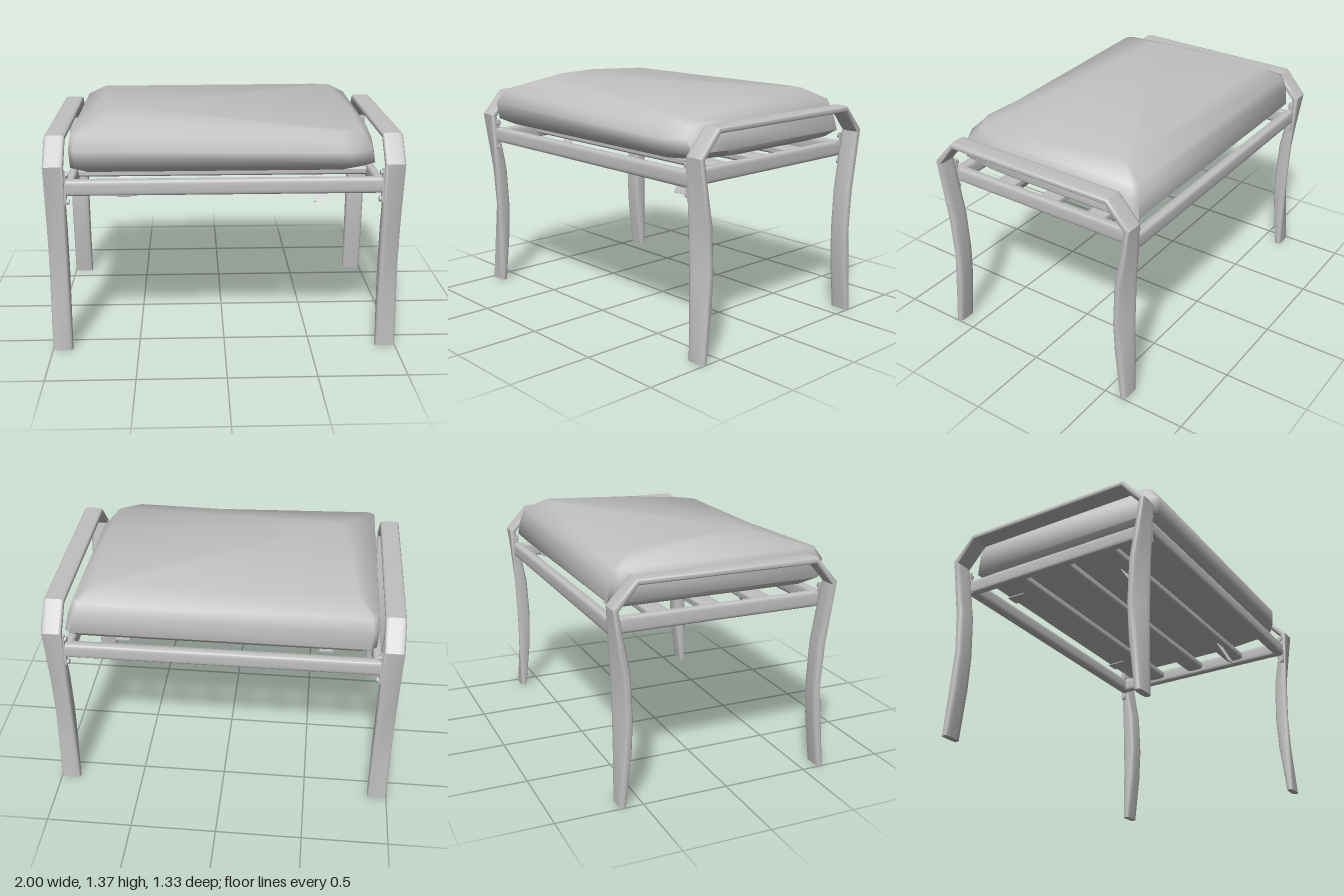
import * as THREE from 'three';
import { toCreasedNormals } from 'three/addons/utils/BufferGeometryUtils.js';

// Skins a list of equal-length rings (Vector3 loops) and closes both ends
function loft(rings, crease) {
  const n = rings[0].length, pts = rings.flat(), index = [];
  for (let r = 0; r < rings.length - 1; r++) {
    for (let i = 0; i < n; i++) {
      const a = r * n + i, b = r * n + (i + 1) % n;
      index.push(a, b, b + n, a, b + n, a + n);
    }
  }
  const last = (rings.length - 1) * n;
  for (let i = 1; i < n - 1; i++) {
    index.push(0, i + 1, i, last, last + i, last + i + 1);
  }
  // Turn every face outward
  let volume = 0;
  for (let i = 0; i < index.length; i += 3) {
    const [a, b, c] = [0, 1, 2].map(k => pts[index[i + k]]);
    volume += a.dot(new THREE.Vector3().crossVectors(b, c));
  }
  if (volume < 0) index.reverse();
  const geo = new THREE.BufferGeometry().setFromPoints(pts);
  geo.setIndex(index);
  return toCreasedNormals(geo, crease);
}

// Rounded-square outline from -1 to 1, as [u, v] points
const OUTLINE = Array.from({ length: 24 }, (_, i) => {
  const a = (i + 0.5) / 24 * Math.PI * 2;
  return [Math.cos(a), Math.sin(a)].map(t => Math.sign(t) * Math.abs(t) ** 0.5);
});

// Side frame: half path from foot to top bar as
// [z, y, normalZ, normalY, outward depth at inner edge, at outer edge, inward depth]
const HALF_PATH = [
  [0.615, 0, 1, 0, 0.02, 0.02, 0.02],
  [0.592, 0.3, 1, 0, 0.05, 0.014, 0.034],
  [0.582, 0.5, 1, 0, 0.066, 0.003, 0.033],
  [0.595, 0.75, 1, 0, 0.058, 0.008, 0.035],
  [0.643, 1.105, 0.92, 0.38, 0.02, 0.02, 0.02],
  [0.522, 1.241, 0.38, 0.92, 0.02, 0.02, 0.02],
];

function sideFrameGeometry(side) {
  const path = [...HALF_PATH,
    ...HALF_PATH.map(([z, y, nz, ny, ...depths]) => [-z, y, -nz, ny, ...depths]).reverse()];
  return loft(path.map(([z, y, nz, ny, outA, outB, inn]) =>
    OUTLINE.map(([u, v]) => {
      const out = THREE.MathUtils.lerp(outA, outB, (u + 1) / 2);
      const d = v * (v > 0 ? out : inn);
      return new THREE.Vector3(side * 0.0575 * u, y + ny * d, z + nz * d);
    })), 0.75);
}

// Straight rounded bar along x
function barGeometry(length, height, depth) {
  return loft([-1, 1].map(end => OUTLINE.map(([u, v]) =>
    new THREE.Vector3(end * length / 2, v * height / 2, u * depth / 2))), 0.75);
}

// Cushion: rings as [y, xMin, xMax, zMin, zMax, corner cut, front left drop]
function cushionGeometry() {
  const levels = [
    [1.03, -0.62, 0.75, -0.48, 0.42, 0.05, 0],
    [1.06, -0.8, 0.83, -0.58, 0.57, 0.04, 0],
    [1.1, -0.85, 0.878, -0.62, 0.65, 0.03, 0],
    [1.2, -0.855, 0.855, -0.607, 0.665, 0.03, 0.02],
    [1.275, -0.848, 0.83, -0.585, 0.61, 0.03, 0.04],
  ];
  const rings = levels.map(([y, x0, x1, z0, z1, c, drop]) => [
    [x0, y, z1 - c], [x0, y, z0 + c], [x0 + c, y, z0], [x1 - c, y, z0], [x1, y, z0 + c],
    [x1, y - drop / 2, z1 - 0.3], [x1 - 0.035, y - drop, z1 - 0.08],
    [x1 - 0.17, y - drop, z1], [x0 + c, y, z1],
  ]);
  // Uneven top: highest at the front right, sinking toward the front left corner
  rings.push([
    [-0.65, 1.37, 0.28], [-0.7, 1.37, 0], [-0.73, 1.345, -0.45], [0.62, 1.345, -0.47],
    [0.715, 1.345, -0.45], [0.77, 1.305, 0.15], [0.77, 1.268, 0.52],
    [0.64, 1.28, 0.57], [-0.62, 1.335, 0.43],
  ]);
  return loft(rings.map(ring => ring.map(p => new THREE.Vector3(...p))), 1.2);
}

export function createModel() {
  const model = new THREE.Group();
  model.name = 'footstool';
  const grey = new THREE.MeshStandardMaterial({ color: 0xc0c0c0 });
  grey.name = 'plain grey';

  function add(name, geo, x, y, z) {
    const mesh = new THREE.Mesh(geo, grey);
    mesh.name = name;
    mesh.position.set(x, y, z);
    model.add(mesh);
    return mesh;
  }

  add('cushion', cushionGeometry(), 0, 0, 0);

  for (const s of [-1, 1]) {
    add('sideFrame', sideFrameGeometry(s), s * 0.9425, 0, 0);
    add('sideRail', barGeometry(1.25, 0.09, 0.05).rotateY(Math.PI / 2), s * 0.86, 0.985, 0);
    add('longRail', barGeometry(1.76, 0.09, 0.06), 0, 0.985, s * 0.615);
    // Corner brackets with bolts
    for (const t of [-1, 1]) {
      add('bracket', new THREE.BoxGeometry(0.012, 0.19, 0.03), s * 0.882, 0.985, t * 0.628);
      for (const y of [0.905, 1.06]) {
        add('bolt', new THREE.CylinderGeometry(0.015, 0.015, 0.022, 12).rotateZ(Math.PI / 2),
          s * 0.874, y, t * 0.628);
      }
    }
  }

  // Slats under the cushion
  for (const z of [-0.32, -0.01, 0.3]) {
    add('slat', barGeometry(1.7, 0.05, 0.12), 0, 0.99, z);
  }

  // Thin straps: hanging ends at the front, short tabs at the back
  for (const [x, drop, z] of [[-0.58, 0.85, 0.36], [0.57, 0.82, 0.4]]) {
    const top = new THREE.Vector2(z - 0.09, 0.985), end = new THREE.Vector2(z, drop);
    const strap = add('strapEnd', new THREE.BoxGeometry(0.08, top.distanceTo(end), 0.006),
      x, (top.y + end.y) / 2, (top.x + end.x) / 2);
    strap.rotation.x = -Math.atan2(end.x - top.x, top.y - end.y);
    add('strapTab', new THREE.BoxGeometry(0.08, 0.006, 0.2), x, 1.012, -0.44);
  }
  return model;
}
